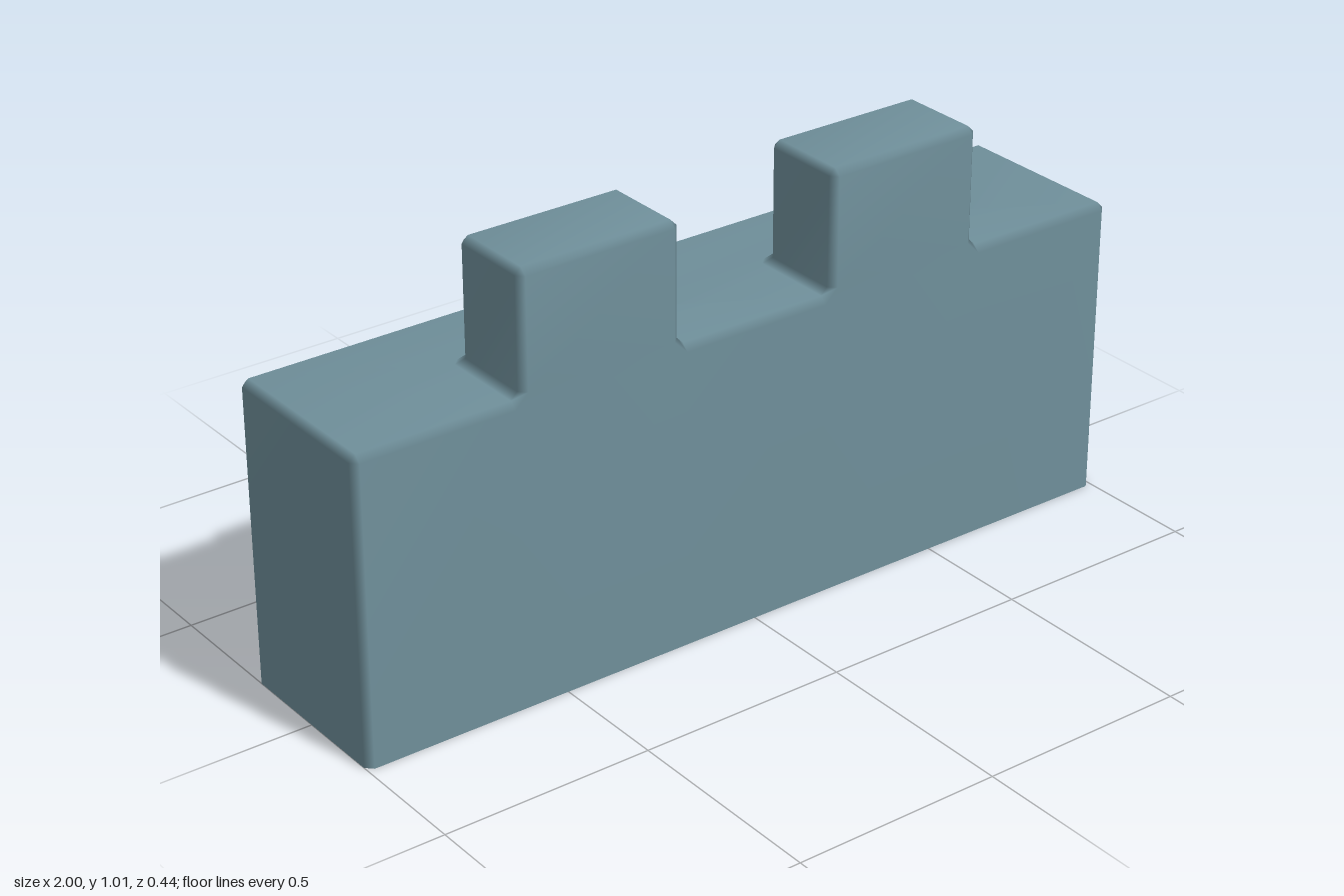
import * as THREE from 'three';

const C = 0.016;            // bevel width
const F = 0.218;            // half depth of the wall
const H = 0.723;            // wall height
const TOP = 1.012;          // merlon height
const MERLONS = [[-0.6, -0.2], [0.2, 0.6]];

export function createModel() {
  const positions = [], lookup = new Map();

  // shared, welded vertices so shading flows between the parts
  const vertex = ([x, y, z]) => {
    const key = [x, y, z].map(v => Math.round(v * 1e4)).join();
    if (!lookup.has(key)) {
      lookup.set(key, positions.length / 3);
      positions.push(x, y, z);
    }
    return lookup.get(key);
  };
  const triangle = (out, a, b, c) => {
    if (a !== b && b !== c && c !== a) out.push(a, b, c);
  };
  // strip of quads between two closed rings, optionally leaving gaps
  const bridge = (out, lower, upper, gaps = []) => {
    const lo = lower.map(vertex), up = upper.map(vertex);
    lo.forEach((a, i) => {
      if (gaps.includes(i)) return;
      const j = (i + 1) % lo.length;
      triangle(out, a, lo[j], up[j]);
      triangle(out, a, up[j], up[i]);
    });
  };
  // flat upward-facing lid
  const cap = (out, ring) => {
    const ids = ring.map(vertex).filter((v, i, all) => v !== all[(i + 1) % all.length]);
    const flat = ids.map(i => new THREE.Vector2(positions[3 * i], -positions[3 * i + 2]));
    for (const [a, b, c] of THREE.ShapeUtils.triangulateShape(flat, [])) {
      const up = THREE.ShapeUtils.area([flat[a], flat[b], flat[c]]) > 0;
      triangle(out, ids[a], ids[up ? b : c], ids[up ? c : b]);
    }
  };
  const atHeight = (outline, y) => outline.map(([x, z]) => [x, y, z]);
  // bevelled top ring: outline pulled in to the inner rectangle
  const inset = (outline, y, x0, x1, z0, z1) => outline.map(([x, z]) => [
    THREE.MathUtils.clamp(x, x0 + C, x1 - C), y, THREE.MathUtils.clamp(z, z0 + C, z1 - C)]);

  const parts = { wall: [], merlonRight: [], merlonLeft: [] };

  // merlons: flared foot, straight sides, bevelled lid; front flush with the wall
  const feet = MERLONS.map(([x0, x1], m) => {
    const out = m ? parts.merlonLeft : parts.merlonRight;
    const foot = [
      [x0 - C, H - C, F], [x1 + C, H - C, F], [x1 + C, H, F - C], [x1 + C, H, 0],
      [x1, H, -C], [x0, H, -C], [x0 - C, H, 0], [x0 - C, H, F - C]];
    const outline = [
      [x0 + C, F], [x1 - C, F], [x1, F - C], [x1, C],
      [x1 - C, 0], [x0 + C, 0], [x0, C], [x0, F - C]];
    const lid = inset(outline, TOP, x0, x1, 0, F);
    bridge(out, foot, atHeight(outline, H + C));
    bridge(out, atHeight(outline, H + C), atHeight(outline, TOP - C));
    bridge(out, atHeight(outline, TOP - C), lid);
    cap(out, lid);
    return foot;
  });

  // wall: open underneath, bevel interrupted where the merlons rise
  const edges = MERLONS.flatMap(([x0, x1]) => [[x0 - C, F], [x1 + C, F]]);
  const outline = [
    [-1 + C, F], ...edges, [1 - C, F], [1, F - C], [1, -F + C],
    [1 - C, -F], [-1 + C, -F], [-1, -F + C], [-1, F - C]];
  const rim = inset(outline, H, -1, 1, -F, F);
  bridge(parts.wall, atHeight(outline, 0), atHeight(outline, H - C));
  bridge(parts.wall, atHeight(outline, H - C), rim, [1, 3]);
  const notches = feet.flatMap(foot => foot.slice(2).reverse());
  cap(parts.wall, [rim[0], ...notches, ...rim.slice(5)]);

  // smooth normals over the whole shell, then one mesh per part
  const shell = new THREE.BufferGeometry();
  shell.setAttribute('position', new THREE.Float32BufferAttribute(positions, 3));
  shell.setIndex(Object.values(parts).flat());
  shell.computeVertexNormals();

  const material = new THREE.MeshStandardMaterial({ color: 0x6f8f9a, side: THREE.DoubleSide });
  const group = new THREE.Group();
  group.name = 'battlement';
  for (const [name, index] of Object.entries(parts)) {
    const mesh = new THREE.Mesh(shell.clone().setIndex(index).toNonIndexed(), material);
    mesh.name = name;
    group.add(mesh);
  }
  return group;
}
